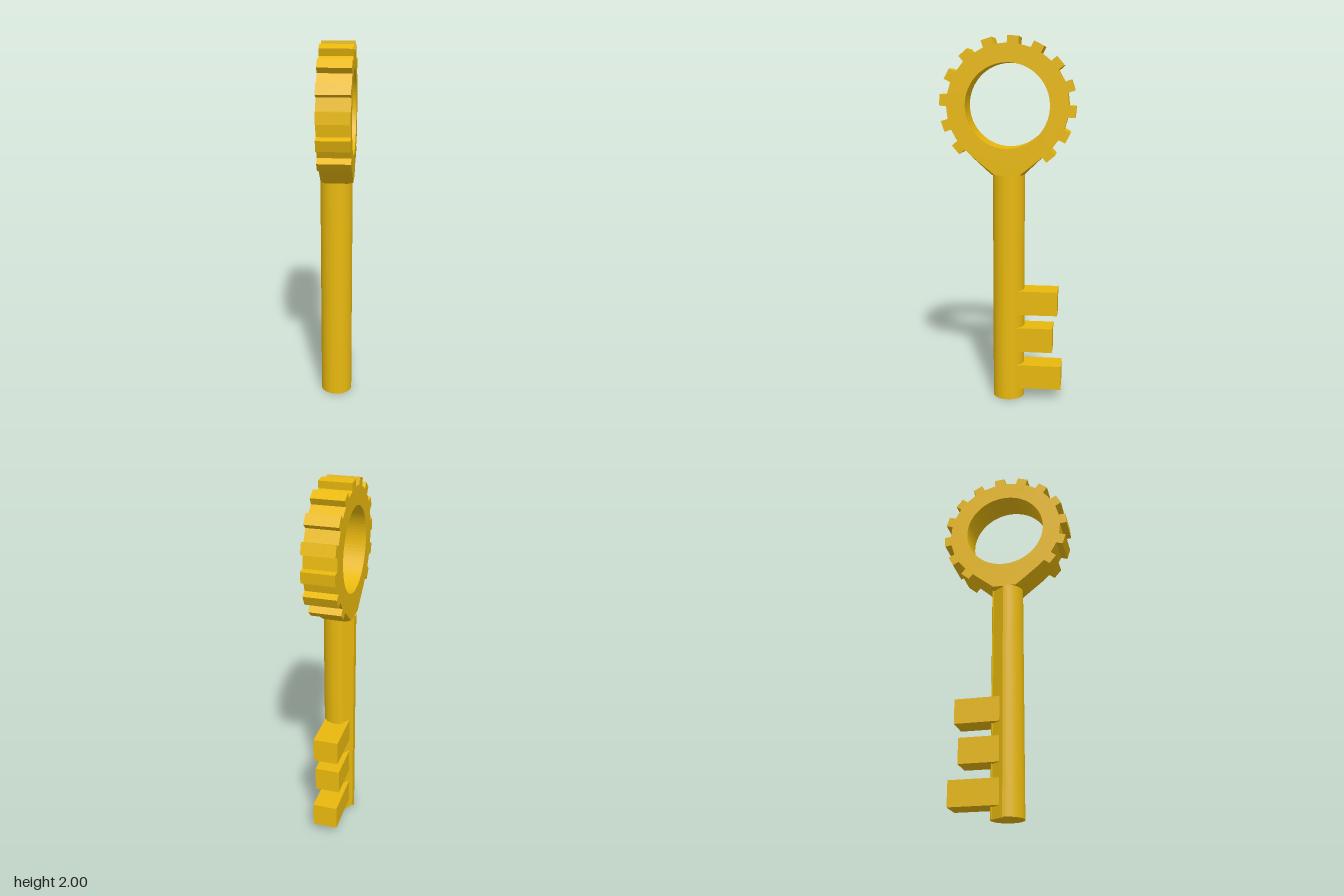
import * as THREE from 'three';
import { toCreasedNormals } from 'three/addons/utils/BufferGeometryUtils.js';
import { ConvexGeometry } from 'three/addons/geometries/ConvexGeometry.js';

const HEAD_Y = 1.64, ROOT = 0.325, TIP = 0.36, HOLE = 0.224;
const X0 = -0.083, X1 = 0.09;
const SHAFT_TOP = 1.275, SHAFT_R = 0.087, SHAFT_X = -0.0035;

export function createModel() {
  const key = new THREE.Group();
  key.name = 'key';
  const gold = new THREE.MeshStandardMaterial({ color: 0xe8b80e });
  const add = (name, geometry) => {
    const mesh = new THREE.Mesh(geometry, gold);
    mesh.name = name;
    key.add(mesh);
    return mesh;
  };
  const rad = THREE.MathUtils.degToRad;

  // Ring head: toothed outline on a 22.5 degree pitch, bare where the neck joins
  const outline = [];
  const point = (deg, r, side = 0) => {
    const a = rad(deg);
    outline.push(new THREE.Vector2(
      Math.sin(a) * r + Math.cos(a) * side,
      Math.cos(a) * r - Math.sin(a) * side));
  };
  for (let k = 0; k < 16; k++) {
    const deg = 5 + 22.5 * k;
    if (deg > 150 && deg < 220) {
      point(deg - 6, ROOT);
      point(deg + 6, ROOT);
    } else {
      point(deg, ROOT - 0.003, -0.03);
      point(deg, TIP, -0.03);
      point(deg, TIP, 0.03);
      point(deg, ROOT - 0.003, 0.03);
    }
  }
  const ring = new THREE.Shape(outline);
  ring.holes.push(new THREE.Path().absarc(0, 0, HOLE, 0, Math.PI * 2, false));
  const head = new THREE.ExtrudeGeometry(ring, { depth: X1 - X0, bevelEnabled: false, curveSegments: 40 });
  head.rotateY(Math.PI / 2);
  head.translate(X0, HEAD_Y, 0);
  add('toothedRing', head);

  // Neck: flat-sided wedge from the lower rim of the ring, corners cut at the shaft
  const neck = [];
  for (const side of [-1, 1]) {
    for (const x of [X0, X1]) {
      neck.push(new THREE.Vector3(x, 1.384, side * 0.2));
      neck.push(new THREE.Vector3(x, SHAFT_TOP, side * 0.065));
      neck.push(new THREE.Vector3(x * 0.7, SHAFT_TOP, side * 0.087));
    }
  }
  add('neck', new ConvexGeometry(neck));

  // Shaft: round bar with a shallow groove along its length
  const groove = rad(145), half = rad(30);
  const section = new THREE.Shape();
  section.absarc(0, 0, SHAFT_R, groove + half, groove - half + Math.PI * 2, false);
  for (const side of [-1, 1]) {
    const across = side * SHAFT_R * Math.sin(half), floor = SHAFT_R * 0.75;
    section.lineTo(
      Math.cos(groove) * floor - Math.sin(groove) * across,
      Math.sin(groove) * floor + Math.cos(groove) * across);
  }
  const shaft = new THREE.ExtrudeGeometry(section, { depth: SHAFT_TOP, bevelEnabled: false, curveSegments: 40 });
  shaft.rotateX(-Math.PI / 2);
  shaft.translate(SHAFT_X, 0, 0);
  add('shaft', toCreasedNormals(shaft, 0.4));

  // Bit: three blocks of different reach
  for (const [y0, y1, reach] of [[0.063, 0.2, 0.298], [0.28, 0.418, 0.248], [0.495, 0.63, 0.274]]) {
    const start = 0.03;
    const block = add('bitTooth', new THREE.BoxGeometry(0.136, y1 - y0, reach - start));
    block.position.set(0, (y0 + y1) / 2, -(reach + start) / 2);
  }
  return key;
}
